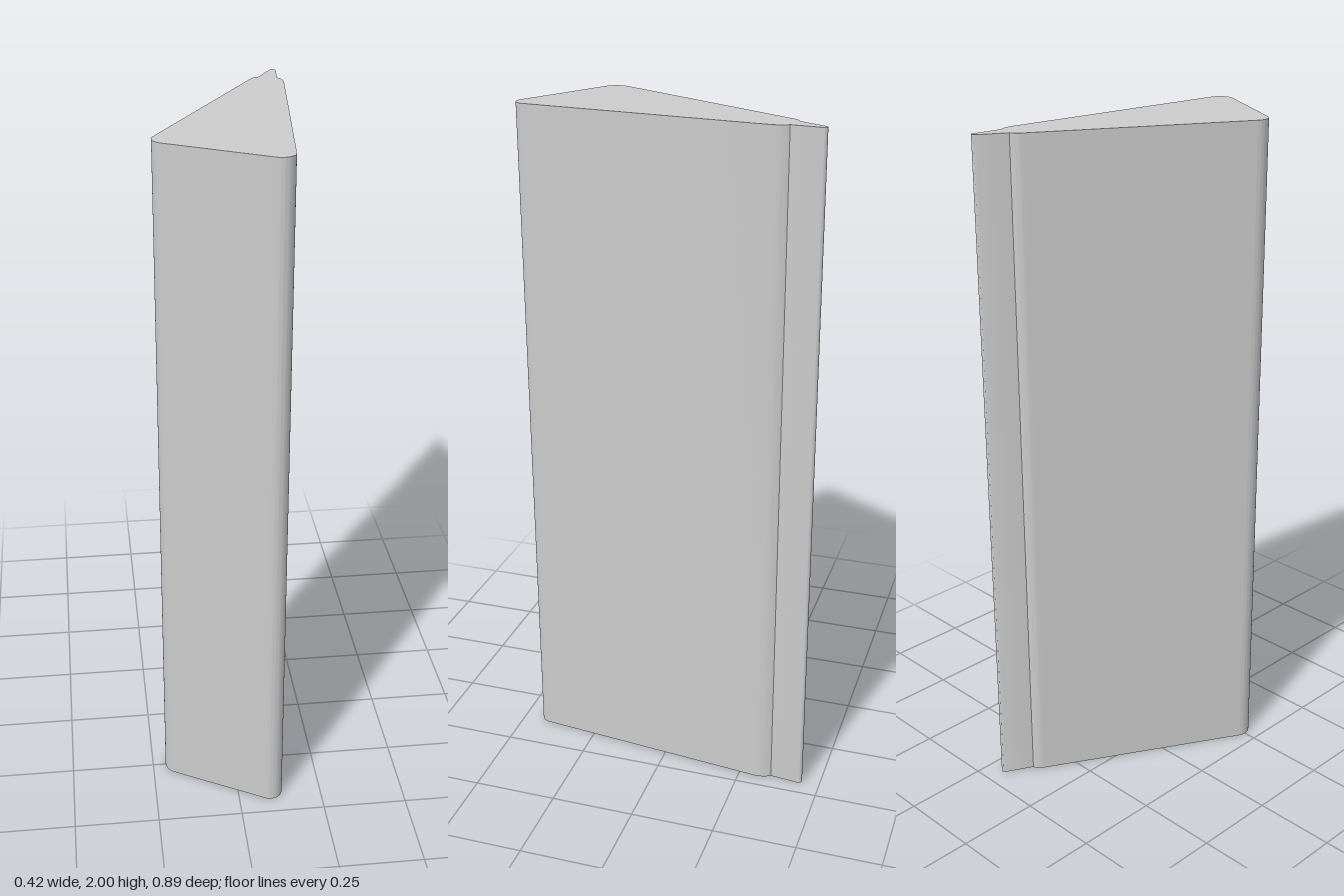
import * as THREE from 'three';
import { toCreasedNormals } from 'three/addons/utils/BufferGeometryUtils.js';

const HEIGHT = 2;

export function createModel() {
  const model = new THREE.Group();
  const rad = THREE.MathUtils.degToRad;

  // Plan outline, counterclockwise; shape y is -z
  const outline = new THREE.Shape();
  const round = (x, y, r, from, to) => outline.absarc(x, y, r, rad(from), rad(to), false);

  round(-0.165, -0.25, 0.046, 151, 241); // left front corner
  round(0.096, -0.408, 0.037, 241, 354); // right front corner
  // Right shoulder, stepping in to the tongue
  outline.lineTo(0.208, 0.3);
  outline.quadraticCurveTo(0.209, 0.328, 0.195, 0.348);
  // Rounded tip of the tongue
  round(0.194, 0.436, 0.01, -6, 151);
  // Left shoulder
  outline.lineTo(0.143, 0.362);
  outline.quadraticCurveTo(0.124, 0.357, 0.114, 0.336);
  outline.closePath();

  // Extrude upwards, smooth fillets with sharp rims and notches
  const extruded = new THREE.ExtrudeGeometry(outline, {
    depth: HEIGHT, bevelEnabled: false, curveSegments: 10,
  });
  extruded.rotateX(-Math.PI / 2);
  const wedge = new THREE.Mesh(
    toCreasedNormals(extruded, 0.45),
    new THREE.MeshStandardMaterial({ color: 0xcccccc }),
  );
  wedge.name = 'wedgeBarWithTongue';
  model.add(wedge);
  return model;
}
